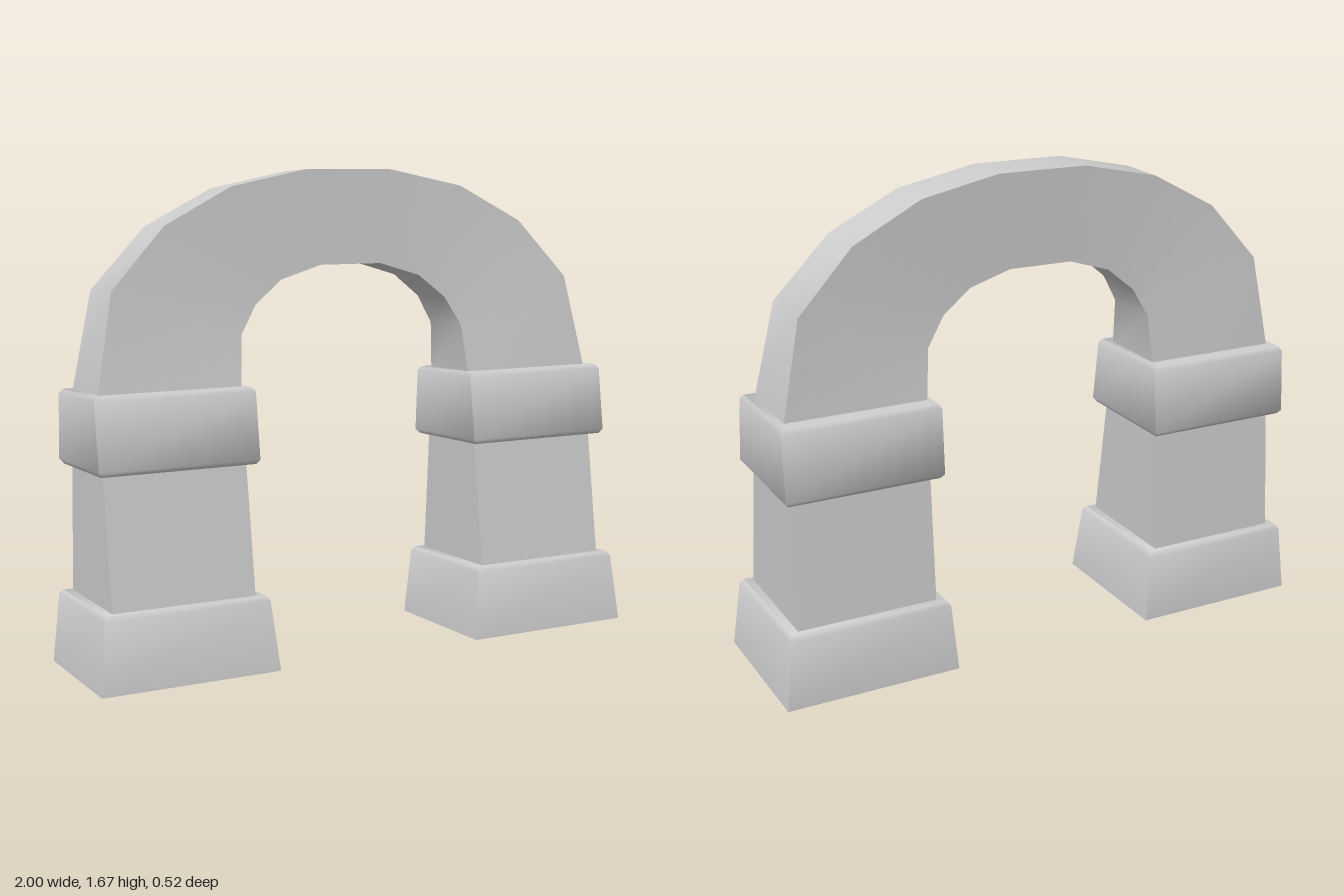
import * as THREE from 'three';
import { toCreasedNormals } from 'three/addons/utils/BufferGeometryUtils.js';

const material = new THREE.MeshStandardMaterial({ color: 0xcccccc });

// Joins a row of four-cornered rings into a closed solid
function loft(name, rings, crease) {
  const index = [];
  for (let i = 0; i < rings.length - 1; i++) {
    for (let j = 0; j < 4; j++) {
      const a = i * 4 + j, b = i * 4 + (j + 1) % 4;
      index.push(a, b, b + 4, a, b + 4, a + 4);
    }
  }
  const e = (rings.length - 1) * 4;
  index.push(0, 3, 2, 0, 2, 1, e, e + 1, e + 2, e, e + 2, e + 3);
  const geometry = new THREE.BufferGeometry();
  geometry.setAttribute('position', new THREE.Float32BufferAttribute(rings.flat(2), 3));
  geometry.setIndex(index);
  const mesh = new THREE.Mesh(toCreasedNormals(geometry, crease), material);
  mesh.name = name;
  return mesh;
}

// Rectangular block from rows of [height, half width, half depth]
function block(name, rows) {
  return loft(name, rows.map(([y, w, d]) =>
    [[-w, y, d], [w, y, d], [w, y, -d], [-w, y, -d]]), 0.95);
}

function createPillar(name, x) {
  const pillar = new THREE.Group();
  pillar.name = name;
  pillar.add(
    block('pillarBase', [[0, 0.31, 0.26], [0.237, 0.287, 0.24], [0.252, 0.275, 0.228]]),
    block('pillarShaft', [[0.23, 0.248, 0.209], [0.71, 0.248, 0.156]]),
    block('pillarCollar', [[0.69, 0.266, 0.198], [0.705, 0.277, 0.21],
      [0.928, 0.277, 0.187], [0.943, 0.267, 0.175]])
  );
  pillar.position.x = x;
  return pillar;
}

// Arch stations: inner x, inner y, outer x, outer y, half depth
function createArch() {
  const half = [
    [0.44, 0.93, 0.938, 0.93, 0.132],
    [0.425, 1.11, 0.87, 1.27, 0.106],
    [0.365, 1.21, 0.68, 1.475, 0.095],
    [0.265, 1.29, 0.44, 1.6, 0.089],
    [0.115, 1.335, 0.163, 1.657, 0.086]
  ];
  const mirrored = half.map(([ix, iy, ox, oy, d]) => [-ix, iy, -ox, oy, d]).reverse();
  const rings = [...half, ...mirrored].map(([ix, iy, ox, oy, d]) =>
    [[ix, iy, d], [ox, oy, d], [ox, oy, -d], [ix, iy, -d]]);
  return loft('arch', rings, 0.7);
}

export function createModel() {
  const model = new THREE.Group();
  model.name = 'archway';
  // The whole archway leans slightly backwards
  const leaning = new THREE.Group();
  leaning.name = 'leaningArchway';
  leaning.add(createPillar('leftPillar', 0.69), createPillar('rightPillar', -0.69), createArch());
  leaning.rotation.x = -0.043;
  leaning.position.y = 0.0112;
  model.add(leaning);
  return model;
}
